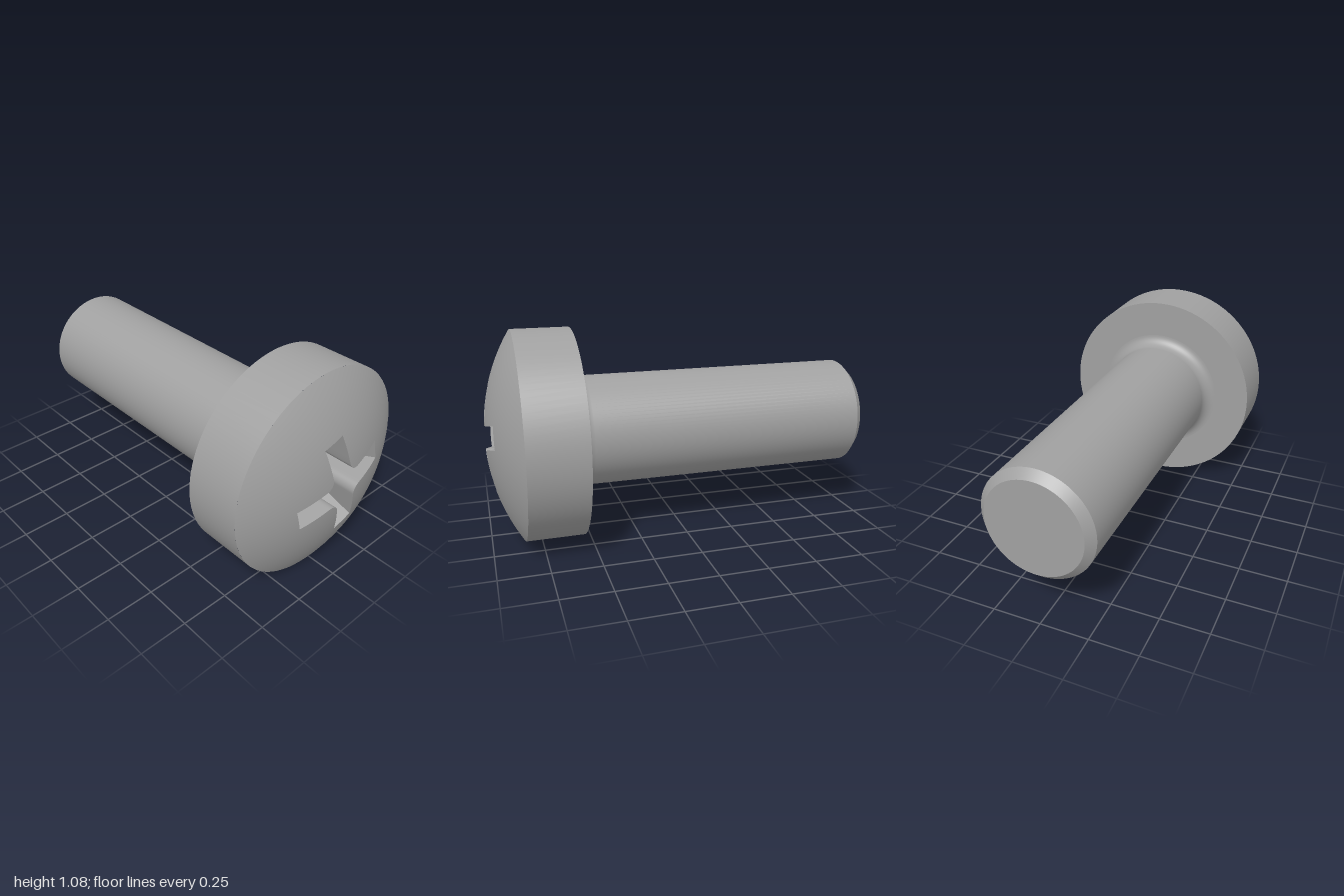
import * as THREE from 'three';
import { toCreasedNormals } from 'three/addons/utils/BufferGeometryUtils.js';

const R = 0.54;            // head radius
const RIM = 0.84;          // z where the dome starts
const BALL = 0.991;        // dome curvature radius
const W = 0.058;           // half width of a recess arm
const END = 0.272;         // reach of an arm at the surface
const IN = 0.105;          // half size of the recess floor
const FLOOR = 0.61;        // z of the recess floor

const domeZ = (x, y) => 1 - BALL + Math.sqrt(BALL * BALL - x * x - y * y);
const EDGE = domeZ(END, W);
const floorZ = (x, y) => {
  const u = Math.max(Math.abs(x), Math.abs(y));
  return FLOOR + Math.max(0, u - IN) * (EDGE - FLOOR) / (END - IN);
};

// Cross outline, counter-clockwise, with rounded inner corners
function crossOutline() {
  const quarter = [];
  for (let i = 0; i < 4; i++) quarter.push([END, -W + (2 * W * i) / 4]);
  for (let i = 0; i < 5; i++) quarter.push([END + ((IN - END) * i) / 5, W]);
  const r = IN - W;
  for (let i = 0; i <= 10; i++) {
    const a = -Math.PI / 2 - (i / 10) * (Math.PI / 2);
    quarter.push([IN + r * Math.cos(a), IN + r * Math.sin(a)]);
  }
  for (let i = 1; i < 5; i++) quarter.push([W, IN + ((END - IN) * i) / 5]);
  const pts = [];
  for (let q = 0; q < 4; q++) {
    const c = [1, 0, -1, 0][q], s = [0, 1, 0, -1][q];
    for (const [x, y] of quarter) pts.push([x * c - y * s, x * s + y * c]);
  }
  return pts;
}

function fromTriangles(positions) {
  const g = new THREE.BufferGeometry();
  g.setAttribute('position', new THREE.Float32BufferAttribute(positions, 3));
  g.computeVertexNormals();
  return g;
}

// Domed surface spanning from the cross outline to the rim
function domeGeometry(outline) {
  const rings = 12, n = outline.length, pos = [], nor = [], idx = [];
  for (let i = 0; i <= rings; i++) {
    for (const [px, py] of outline) {
      const r0 = Math.hypot(px, py);
      const k = (r0 + ((R - r0) * i) / rings) / r0;
      const x = px * k, y = py * k, z = domeZ(x, y);
      pos.push(x, y, z);
      nor.push(x / BALL, y / BALL, (z - 1 + BALL) / BALL);
    }
  }
  for (let i = 0; i < rings; i++) {
    for (let j = 0; j < n; j++) {
      const a = i * n + j, b = i * n + ((j + 1) % n);
      idx.push(a, a + n, b + n, a, b + n, b);
    }
  }
  const g = new THREE.BufferGeometry();
  g.setAttribute('position', new THREE.Float32BufferAttribute(pos, 3));
  g.setAttribute('normal', new THREE.Float32BufferAttribute(nor, 3));
  g.setIndex(idx);
  return g;
}

// Upright walls between the dome and the recess bottom
function wallGeometry(outline) {
  const pos = [];
  outline.forEach(([ax, ay], j) => {
    const [bx, by] = outline[(j + 1) % outline.length];
    const aTop = [ax, ay, domeZ(ax, ay)], bTop = [bx, by, domeZ(bx, by)];
    const aLow = [ax, ay, floorZ(ax, ay)], bLow = [bx, by, floorZ(bx, by)];
    pos.push(...aLow, ...aTop, ...bTop, ...aLow, ...bTop, ...bLow);
  });
  return toCreasedNormals(fromTriangles(pos), 0.5);
}

export function createModel() {
  const model = new THREE.Group();
  model.name = 'screw';
  const steel = new THREE.MeshStandardMaterial({ color: 0xa0a0a0 });
  steel.name = 'steel grey';

  const screw = new THREE.Group();
  screw.name = 'screwBody';
  screw.position.y = R;
  model.add(screw);

  const add = (parent, name, geometry) => {
    const mesh = new THREE.Mesh(geometry, steel);
    mesh.name = name;
    parent.add(mesh);
    return mesh;
  };

  // Turned parts: profiles of [radius, z], one per sharp-edged section
  const fillet = [];
  for (let i = 0; i <= 10; i++) {
    const t = (i / 10) * (Math.PI / 2);
    fillet.push([0.347 - 0.06 * Math.cos(t), 0.485 + 0.06 * Math.sin(t)]);
  }
  const turned = {
    tipFace: [[0, -1], [0.247, -1]],
    tipChamfer: [[0.247, -1], [0.287, -0.96]],
    shank: [[0.287, -0.96], [0.287, 0.485]],
    neckFillet: fillet,
    headUnderside: [[0.347, 0.545], [R, 0.545]],
    headSide: [[R, 0.545], [R, RIM]],
  };
  for (const [name, profile] of Object.entries(turned)) {
    const g = new THREE.LatheGeometry(profile.map(([r, z]) => new THREE.Vector2(r, z)), 96);
    add(screw, name, g.rotateX(Math.PI / 2));
  }

  // Domed top with the cross recess, turned slightly
  const top = new THREE.Group();
  top.name = 'headTop';
  top.rotation.z = THREE.MathUtils.degToRad(15);
  screw.add(top);
  const outline = crossOutline();
  add(top, 'dome', domeGeometry(outline));
  add(top, 'recessWalls', wallGeometry(outline));

  // Flat recess floor
  const inner = outline.filter(([x, y]) => Math.max(Math.abs(x), Math.abs(y)) < IN + 1e-6);
  const floorShape = new THREE.Shape(inner.map(([x, y]) => new THREE.Vector2(x, y)));
  add(top, 'recessFloor', new THREE.ShapeGeometry(floorShape).translate(0, 0, FLOOR));

  // Sloping bottom of each arm
  for (let q = 0; q < 4; q++) {
    const a = [IN, -W, FLOOR], b = [END, -W, EDGE], c = [END, W, EDGE], d = [IN, W, FLOOR];
    const slope = add(top, 'recessSlope', fromTriangles([...a, ...b, ...c, ...a, ...c, ...d]));
    slope.rotation.z = (q * Math.PI) / 2;
  }
  return model;
}
